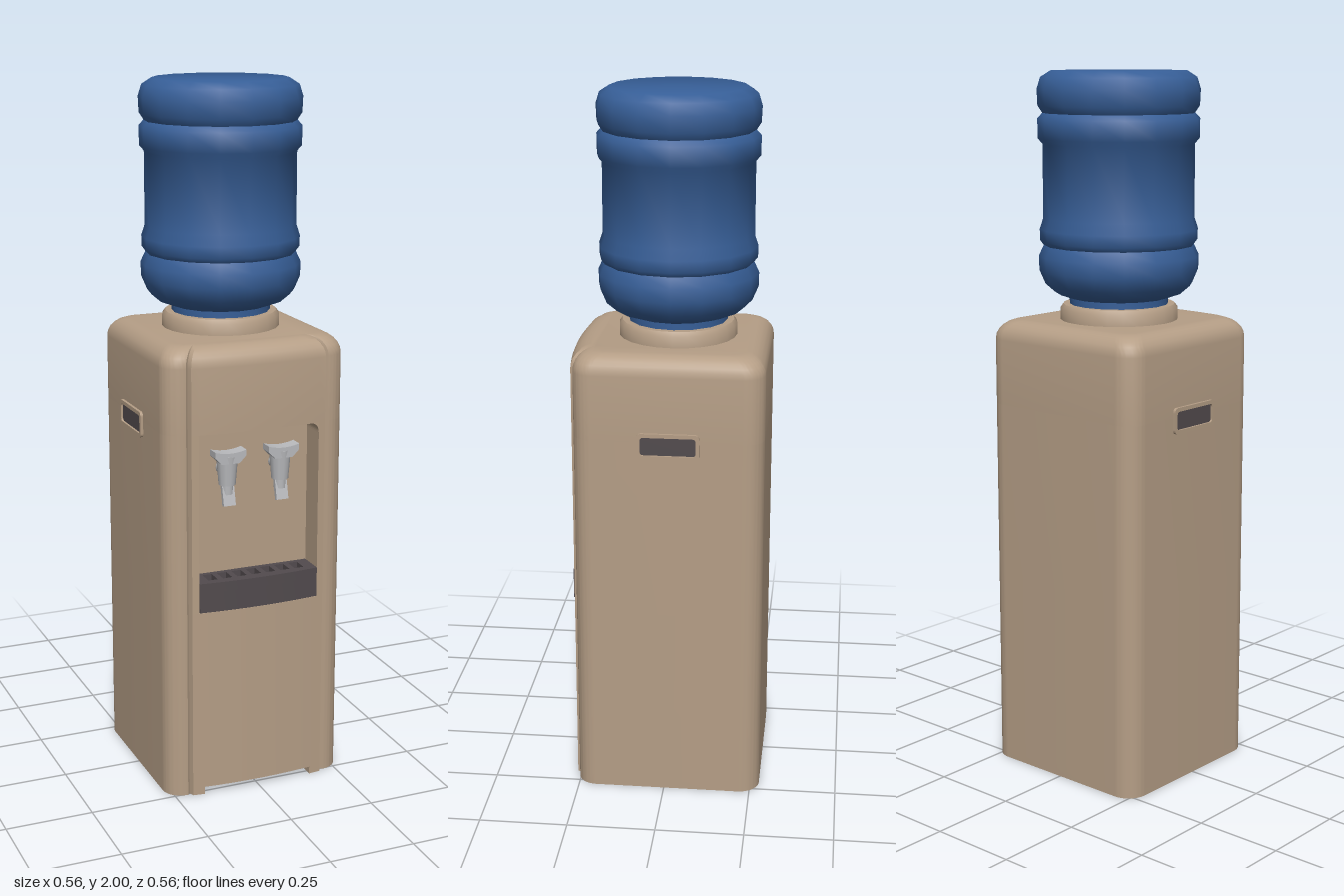
import * as THREE from 'three';
import { mergeGeometries, toCreasedNormals } from 'three/addons/utils/BufferGeometryUtils.js';

const material = (name, color) => {
  const m = new THREE.MeshStandardMaterial({ color });
  m.name = name;
  return m;
};

export function createModel() {
  const beige = material('beige plastic', 0xb59e86);
  const blue = material('blue bottle', 0x375f98);
  const dark = material('dark grey plastic', 0x524b4e);
  const grey = material('light grey tap', 0xb9babd);
  const group = new THREE.Group();

  const add = (parent, name, geometry, mat, x = 0, y = 0, z = 0) => {
    const mesh = new THREE.Mesh(geometry, mat);
    mesh.name = name;
    mesh.position.set(x, y, z);
    parent.add(mesh);
    return mesh;
  };

  // Plan outlines are drawn in (x, -z) and raised along y
  const raise = (shape, y0, y1, steps = 1) => {
    const g = new THREE.ExtrudeGeometry(shape, { depth: y1 - y0, steps, bevelEnabled: false, curveSegments: 8 });
    return g.rotateX(-Math.PI / 2).translate(0, y0, 0);
  };
  const frontZ = (x) => 0.277 - 0.013 * (x / 0.2) ** 2;

  // Cabinet outline with bowed front panel, optionally notched at the front
  const footprint = (notch = 0, notchZ = 0) => {
    const s = new THREE.Shape();
    const q = Math.PI / 2;
    s.moveTo(0.2, -frontZ(0.2));
    s.lineTo(0.205, -0.249);
    s.lineTo(0.212, -0.255);
    s.absarc(0.215, -0.2, 0.055, -q, 0, false);
    s.absarc(0.21, 0.216, 0.06, 0, q, false);
    s.absarc(-0.21, 0.216, 0.06, q, 2 * q, false);
    s.absarc(-0.215, -0.2, 0.055, 2 * q, 3 * q, false);
    s.lineTo(-0.212, -0.255);
    s.lineTo(-0.205, -0.249);
    s.lineTo(-0.2, -frontZ(0.2));
    if (notch) {
      s.lineTo(-notch, -frontZ(notch));
      s.lineTo(-notch, -notchZ);
      s.lineTo(notch, -notchZ);
      s.lineTo(notch, -frontZ(notch));
    } else {
      for (let i = -7; i <= 7; i++) s.lineTo(i * 0.025, -frontZ(i * 0.025));
    }
    s.closePath();
    return s;
  };

  // Rounded crown: draw the upper rings inward along a quarter circle
  const r = 0.055;
  const crownY = 1.31 - r;
  const crown = raise(footprint(), 0, r, 6);
  const p = crown.attributes.position;
  for (let i = 0; i < p.count; i++) {
    const a = (p.getY(i) / r) * Math.PI / 2;
    const k = 1 - (r / 0.27) * (1 - Math.cos(a));
    p.setXYZ(i, p.getX(i) * k, crownY + r * Math.sin(a), p.getZ(i) * k);
  }

  // Cabinet: feet, lower panel, tap niche, upper panel, crown
  const nicheZ = 0.19;
  const cabinet = mergeGeometries([
    raise(footprint(0.165, -0.22), 0, 0.022),
    raise(footprint(), 0.022, 0.555),
    raise(footprint(0.18, nicheZ), 0.555, 1.07),
    raise(footprint(), 1.07, crownY),
    crown,
  ]);
  add(group, 'cabinet', toCreasedNormals(cabinet, 0.6), beige);

  // Rounded upper corners of the niche
  for (const s of [-1, 1]) {
    const c = new THREE.Shape();
    c.moveTo(s * 0.18, 1.07);
    c.lineTo(s * 0.15, 1.07);
    c.quadraticCurveTo(s * 0.18, 1.07, s * 0.18, 1.04);
    c.closePath();
    const g = new THREE.ExtrudeGeometry(c, { depth: 0.076, bevelEnabled: false });
    add(group, 'nicheCorner', g, beige, 0, 0, nicheZ);
  }

  // Drip tray with slotted grille
  const trayShape = () => {
    const s = new THREE.Shape();
    s.moveTo(0.179, -nicheZ);
    s.lineTo(-0.179, -nicheZ);
    for (let i = -6; i <= 6; i++) s.lineTo(i * 0.0298, -frontZ(i * 0.0298) - 0.003);
    s.closePath();
    return s;
  };
  const grille = trayShape();
  for (let i = -3; i <= 3; i++) {
    const h = new THREE.Path();
    const x = i * 0.044;
    h.moveTo(x - 0.014, -0.205);
    h.lineTo(x + 0.014, -0.205);
    h.lineTo(x + 0.014, -0.25);
    h.lineTo(x - 0.014, -0.25);
    h.closePath();
    grille.holes.push(h);
  }
  add(group, 'dripTray', toCreasedNormals(raise(trayShape(), 0.557, 0.615), 0.6), dark);
  add(group, 'dripGrille', toCreasedNormals(raise(grille, 0.615, 0.643), 0.6), dark);

  // Pair of taps
  for (const x of [-0.08, 0.08]) {
    const tap = new THREE.Group();
    tap.name = 'tap';
    tap.position.set(x, 0, 0.226);
    group.add(tap);
    const stem = new THREE.CylinderGeometry(0.02, 0.02, 0.04, 12).rotateX(Math.PI / 2);
    add(tap, 'tapStem', stem, grey, 0, 0.95, -0.018);
    add(tap, 'tapBody', new THREE.CylinderGeometry(0.031, 0.024, 0.085, 12), grey, 0, 0.952, 0);
    const wing = new THREE.Shape();
    wing.moveTo(-0.046, 1.012);
    wing.lineTo(-0.046, 0.995);
    wing.lineTo(-0.026, 0.975);
    wing.lineTo(0.026, 0.975);
    wing.lineTo(0.046, 0.995);
    wing.lineTo(0.046, 1.012);
    wing.quadraticCurveTo(0, 0.998, -0.046, 1.012);
    const wingGeo = new THREE.ExtrudeGeometry(wing, { depth: 0.04, bevelEnabled: false });
    add(tap, 'tapHandle', wingGeo, grey, 0, 0, -0.012);
    add(tap, 'tapSpout', new THREE.CylinderGeometry(0.017, 0.017, 0.035, 12), grey, 0, 0.9, 0);
    add(tap, 'tapLever', new THREE.BoxGeometry(0.036, 0.06, 0.012), grey, 0, 0.88, 0.008).rotation.x = -0.25;
  }

  // Side grips: raised rim around a dark pocket
  const rounded = (Kind, w, h, c) => {
    const s = new Kind();
    s.moveTo(-w + c, -h);
    s.lineTo(w - c, -h);
    s.quadraticCurveTo(w, -h, w, -h + c);
    s.lineTo(w, h - c);
    s.quadraticCurveTo(w, h, w - c, h);
    s.lineTo(-w + c, h);
    s.quadraticCurveTo(-w, h, -w, h - c);
    s.lineTo(-w, -h + c);
    s.quadraticCurveTo(-w, -h, -w + c, -h);
    return s;
  };
  for (const s of [-1, 1]) {
    const grip = new THREE.Group();
    grip.name = 'sideGrip';
    grip.position.set(s * 0.268, 1.06, -0.013);
    grip.rotation.y = s * Math.PI / 2;
    group.add(grip);
    const rim = rounded(THREE.Shape, 0.087, 0.037, 0.014);
    rim.holes.push(rounded(THREE.Path, 0.077, 0.026, 0.01));
    add(grip, 'gripRim', new THREE.ExtrudeGeometry(rim, { depth: 0.01, bevelEnabled: false }), beige);
    const pocket = rounded(THREE.Shape, 0.079, 0.028, 0.01);
    add(grip, 'gripPocket', new THREE.ExtrudeGeometry(pocket, { depth: 0.004, bevelEnabled: false }), dark);
  }

  // Collar and bottle, both turned about the same axis
  const axisZ = -0.015;
  const lathe = (pts, sides) =>
    toCreasedNormals(new THREE.LatheGeometry(pts.map(([x, y]) => new THREE.Vector2(x, y)), sides), 0.9);
  add(group, 'collar', lathe([[0.167, 1.305], [0.167, 1.342], [0.158, 1.354], [0, 1.354]], 24), beige, 0, 0, axisZ);
  add(group, 'bottle', lathe([
    [0.14, 1.34], [0.14, 1.372], [0.18, 1.386], [0.208, 1.41], [0.225, 1.45], [0.226, 1.49],
    [0.212, 1.52], [0.222, 1.533], [0.223, 1.565], [0.213, 1.595], [0.213, 1.8], [0.226, 1.815],
    [0.227, 1.87], [0.213, 1.885], [0.226, 1.905], [0.228, 1.95], [0.218, 1.982], [0.19, 2], [0, 2],
  ], 16), blue, 0, 0, axisZ);

  return group;
}
